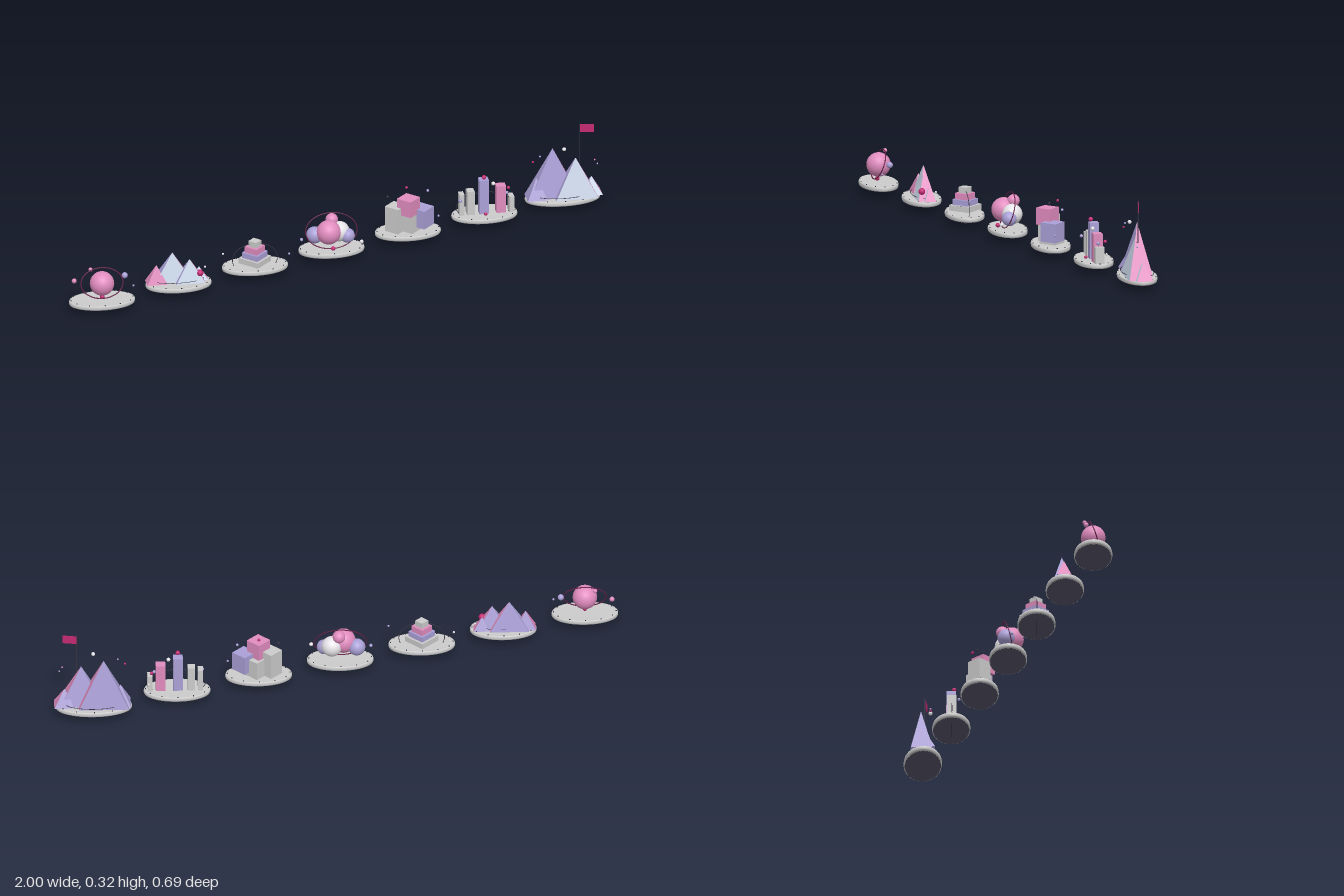
import * as THREE from 'three';

const COLORS = {
  grey: 0xcccccc, white: 0xe6e4e8, pink: 0xe08cbe, lavender: 0xaaa0d6,
  ice: 0xccd8ea, red: 0xc42a72, dark: 0x3a3642, wine: 0x6a2048, under: 0x565466,
};
const mats = {};
const mat = (c) => (mats[c] ??= new THREE.MeshStandardMaterial({ color: COLORS[c], side: THREE.DoubleSide }));

function add(parent, name, geo, color, x = 0, y = 0, z = 0) {
  const m = new THREE.Mesh(geo, mat(color));
  m.name = name;
  m.position.set(x, y, z);
  parent.add(m);
  return m;
}

const ball = (p, name, color, r, x, y, z) =>
  add(p, name, new THREE.SphereGeometry(r, r > 0.015 ? 32 : 14, r > 0.015 ? 20 : 10), color, x, y, z);

// small beads given as [color, radius, x, y, z]
const beads = (p, list) => list.forEach((b) => ball(p, 'floatingBead', ...b));

function box(p, name, color, w, y0, y1, d, x, z, turn = 0) {
  add(p, name, new THREE.BoxGeometry(w, y1 - y0, d), color, x, (y0 + y1) / 2, z).rotation.y = turn;
}

// thin elliptical hoop: half width a along x, second half axis is the vector (0, vy, vz)
function hoop(p, name, color, a, vy, vz, y, thick) {
  const pts = [];
  for (let i = 0; i < 48; i++) {
    const t = (i / 48) * Math.PI * 2;
    pts.push(new THREE.Vector3(a * Math.cos(t), vy * Math.sin(t), vz * Math.sin(t)));
  }
  const path = new THREE.CatmullRomCurve3(pts, true);
  add(p, name, new THREE.TubeGeometry(path, 72, thick, 6, true), color, 0, y, 0);
}

// four-sided peak, one colour per face: front, left, back, right
function peak(p, x, z, top, hx, hz, faces) {
  const g = new THREE.Group();
  g.name = 'mountainPeak';
  const y0 = 0.041;
  const c = [[-hx, hz], [hx, hz], [hx, -hz], [-hx, -hz]];
  faces.forEach((color, i) => {
    const a = c[i], b = c[(i + 1) % 4];
    const geo = new THREE.BufferGeometry();
    geo.setAttribute('position', new THREE.Float32BufferAttribute(
      [a[0], y0, a[1], b[0], y0, b[1], 0, top, 0], 3));
    geo.computeVertexNormals();
    add(g, 'mountainFace', geo, color);
  });
  g.position.set(x, 0, z);
  p.add(g);
}

// oval base with rounded rim, pale top, dark underside and rim studs
function platform(p, rx) {
  const rz = 0.067;
  const profile = [[0.93, 0.024], [0.985, 0.026], [1, 0.03], [1, 0.036], [0.98, 0.041], [0.9, 0.041], [0.88, 0.039], [0, 0.039]]
    .map(([r, y]) => new THREE.Vector2(r, y));
  add(p, 'platformBase', new THREE.LatheGeometry(profile, 48), 'grey').scale.set(rx, 1, rz);
  const under = add(p, 'platformUnderside', new THREE.CircleGeometry(1, 48), 'under', 0, 0.0242, 0);
  under.rotation.x = Math.PI / 2;
  under.scale.set(rx * 0.95, rz * 0.95, 1);
  for (let i = 0; i < 12; i++) {
    const t = (i / 12) * Math.PI * 2;
    add(p, 'rimStud', new THREE.CylinderGeometry(0.002, 0.002, 0.003, 8), 'dark',
      Math.cos(t) * rx * 0.94, 0.042, Math.sin(t) * rz * 0.94);
  }
}

// planet with tilted orbit and moons
function planet(p) {
  ball(p, 'planet', 'pink', 0.043, 0, 0.1, 0);
  hoop(p, 'orbitRing', 'wine', 0.075, 0.05, -0.02, 0.101, 0.002);
  beads(p, [['lavender', 0.011, 0.085, 0.114, -0.022], ['pink', 0.009, -0.094, 0.105, -0.027],
    ['pink', 0.0075, -0.035, 0.142, -0.031], ['red', 0.008, 0, 0.05, 0.004], ['lavender', 0.004, 0.11, 0.087, 0.01]]);
}

// small mountain range
function hills(p) {
  const pale = ['ice', 'pink', 'lavender', 'lavender'];
  peak(p, -0.02, -0.011, 0.149, 0.068, 0.027, pale);
  peak(p, 0.039, 0.003, 0.125, 0.052, 0.027, pale);
  peak(p, -0.078, -0.005, 0.108, 0.036, 0.025, ['pink', 'pink', 'lavender', 'pink']);
  peak(p, 0.075, -0.011, 0.088, 0.03, 0.02, pale);
  hoop(p, 'groundRing', 'dark', 0.09, 0, 0.035, 0.05, 0.001);
  beads(p, [['red', 0.012, 0.074, 0.074, 0.015], ['white', 0.004, 0.1, 0.075, -0.03]]);
}

// stepped pyramid with upright hoop
function ziggurat(p) {
  [['grey', 0.058, 0.048, 0.068], ['lavender', 0.046, 0.068, 0.088], ['pink', 0.036, 0.088, 0.11],
    ['grey', 0.023, 0.11, 0.131]].forEach(([c, h, y0, y1]) =>
    box(p, 'pyramidStep', c, h * 1.414, y0, y1, h * 1.414, 0, -0.002, Math.PI / 4));
  hoop(p, 'uprightHoop', 'dark', 0.08, 0.06, 0, 0.061, 0.0012);
  beads(p, [['red', 0.006, 0, 0.046, 0.004], ['lavender', 0.004, 0.115, 0.088, 0.037], ['white', 0.004, -0.112, 0.085, -0.01]]);
}

// cluster of spheres with tilted orbit
function cluster(p) {
  ball(p, 'largeSphere', 'pink', 0.043, -0.012, 0.103, 0.012);
  ball(p, 'whiteSphere', 'white', 0.036, 0.03, 0.094, -0.01);
  ball(p, 'lavenderSphere', 'lavender', 0.026, 0.056, 0.083, 0.006);
  ball(p, 'sideSphere', 'lavender', 0.03, -0.058, 0.088, -0.008);
  ball(p, 'topSphere', 'pink', 0.022, 0.005, 0.137, -0.02);
  hoop(p, 'orbitRing', 'wine', 0.092, 0.061, -0.018, 0.103, 0.0018);
  beads(p, [['red', 0.008, 0, 0.05, 0.035], ['white', 0.007, 0.1, 0.072, 0.043], ['lavender', 0.006, -0.108, 0.082, 0.01]]);
}

// stack of turned blocks
function blocks(p) {
  const q = Math.PI / 4;
  box(p, 'tallBlock', 'grey', 0.056, 0.041, 0.135, 0.056, -0.042, -0.003, q);
  box(p, 'lowBlock', 'grey', 0.064, 0.041, 0.108, 0.064, 0.008, -0.003, q);
  box(p, 'upperBlock', 'pink', 0.058, 0.108, 0.168, 0.058, 0.0, 0.012, q);
  box(p, 'sideBlock', 'lavender', 0.06, 0.057, 0.125, 0.06, 0.05, 0.004, q);
  beads(p, [['red', 0.005, 0, 0.191, -0.025], ['lavender', 0.005, 0.076, 0.173, -0.025],
    ['dark', 0.004, -0.07, 0.168, -0.01], ['lavender', 0.004, 0.108, 0.088, 0.008]]);
}

// row of towers with upright hoop
function towers(p) {
  [['grey', -0.082, 0.018, 0.12], ['grey', -0.05, 0.026, 0.13], ['lavender', -0.003, 0.034, 0.169],
    ['pink', 0.058, 0.034, 0.142], ['grey', 0.095, 0.018, 0.1]].forEach(([c, x, w, top]) =>
    box(p, 'tower', c, w, 0.041, top, 0.033, x, 0));
  hoop(p, 'uprightHoop', 'dark', 0.1, 0.052, 0, 0.066, 0.0012);
  beads(p, [['red', 0.008, -0.003, 0.18, 0.01], ['white', 0.007, 0.03, 0.153, 0.01], ['lavender', 0.006, 0.08, 0.11, 0.001],
    ['lavender', 0.006, -0.09, 0.103, 0.025], ['red', 0.006, 0.09, 0.118, -0.022], ['white', 0.004, 0.1, 0.074, -0.025],
    ['red', 0.006, 0, 0.046, 0.028]]);
}

// tall mountain range with summit flag
function summit(p) {
  const violet = ['lavender', 'pink', 'lavender', 'lavender'];
  const pale = ['ice', 'pink', 'lavender', 'lavender'];
  peak(p, -0.034, -0.007, 0.22, 0.088, 0.038, violet);
  peak(p, 0.044, 0.014, 0.187, 0.075, 0.038, pale);
  peak(p, -0.094, 0.005, 0.115, 0.036, 0.035, violet);
  peak(p, 0.103, 0.0, 0.105, 0.036, 0.03, pale);
  hoop(p, 'groundRing', 'dark', 0.11, 0, 0.055, 0.051, 0.0012);
  add(p, 'flagPole', new THREE.CylinderGeometry(0.0015, 0.0015, 0.15, 8), 'dark', 0.06, 0.24, 0.009);
  box(p, 'flag', 'red', 0.05, 0.282, 0.312, 0.002, 0.084, 0.013, -0.18);
  beads(p, [['white', 0.007, 0.001, 0.228, 0.027], ['red', 0.004, -0.11, 0.187, 0.025],
    ['lavender', 0.0035, -0.085, 0.206, 0.025], ['pink', 0.003, 0.11, 0.178, 0.025], ['lavender', 0.003, 0.12, 0.162, 0.025]]);
}

export function createModel() {
  const root = new THREE.Group();
  root.name = 'islandRow';
  const scenes = { planet, hills, ziggurat, cluster, blocks, towers, summit };
  Object.entries(scenes).forEach(([name, build], i) => {
    const g = new THREE.Group();
    g.name = name + 'Island';
    g.position.set(i === 6 ? 0.86 : -0.883 + 0.2895 * i, 0, 0.277 - 0.0923 * i);
    platform(g, i === 6 ? 0.134 : 0.117);
    build(g);
    root.add(g);
  });
  return root;
}
